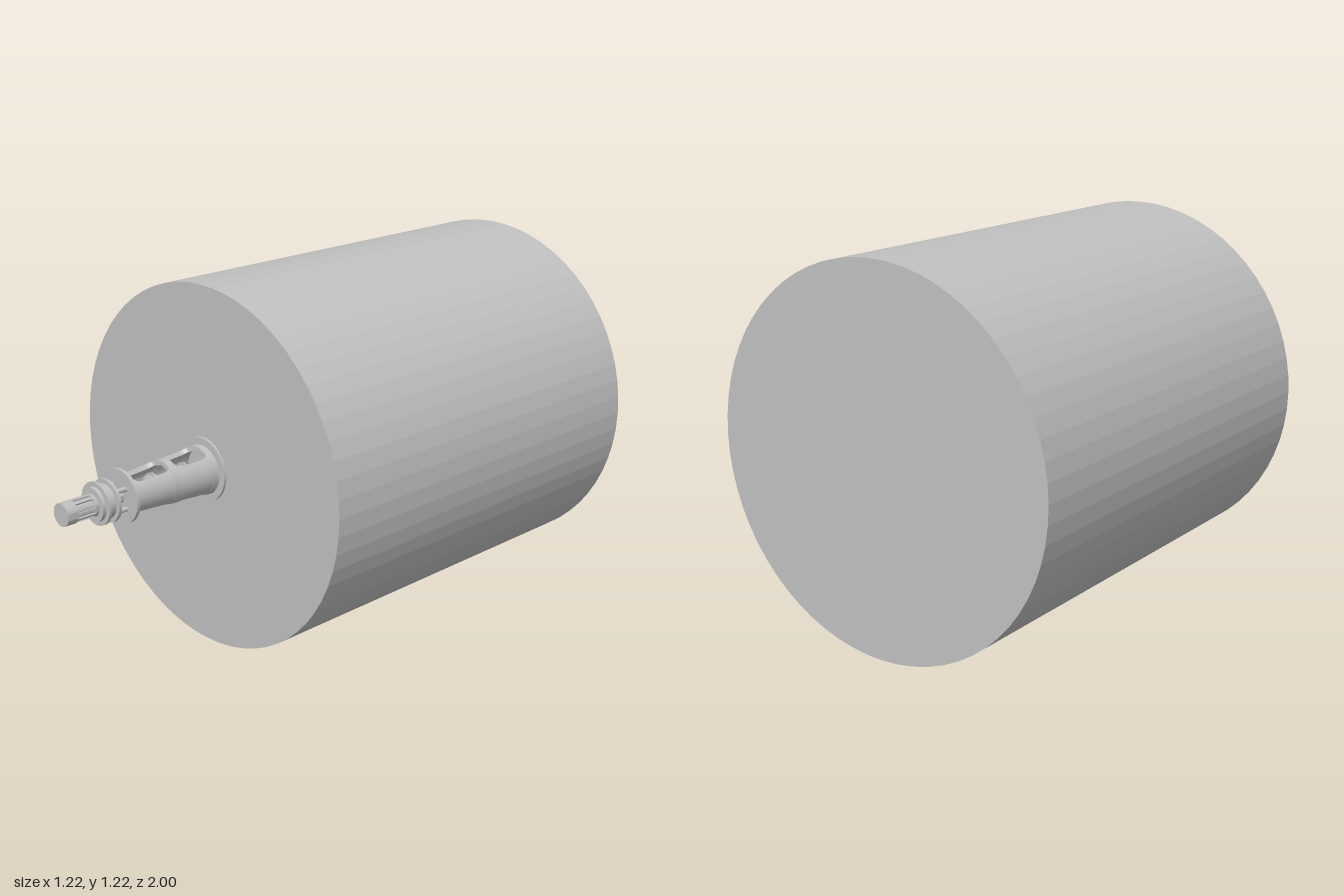
import * as THREE from 'three';
import { toCreasedNormals } from 'three/addons/utils/BufferGeometryUtils.js';

const grey = new THREE.MeshStandardMaterial({ color: 0xc0c0c0 });
grey.name = 'metalGrey';
const flatGrey = grey;

function add(parent, name, geometry, crease = 0.6) {
  const mesh = new THREE.Mesh(toCreasedNormals(geometry, crease), flatGrey);
  mesh.name = name;
  parent.add(mesh);
  return mesh;
}

// Solid of revolution around the z axis from [radius, z] pairs, back to front
function turned(profile, sides = 32) {
  const points = profile.map(([r, z]) => new THREE.Vector2(r, z));
  return new THREE.LatheGeometry(points, sides).rotateX(Math.PI / 2);
}

const disc = (r, z0, z1, sides) => turned([[0, z0], [r, z0], [r, z1], [0, z1]], sides);

// Half of the tapered lantern, with round-cornered windows cut out above and below
function lanternSide() {
  const windows = [[0.465, 0.59], [0.613, 0.755]];
  const rows = [[0.435, 0]];
  for (const [z0, z1] of windows) {
    for (let i = 0; i <= 14; i++) {
      const t = -Math.cos((i / 14) * Math.PI);
      const open = 0.75 * Math.pow(Math.max(0, 1 - t ** 6), 1 / 6);
      rows.push([(z0 + z1) / 2 + (t * (z1 - z0)) / 2, open]);
    }
  }
  rows.push([0.775, 0]);

  const n = 10, loop = 2 * (n + 1), positions = [], index = [];
  rows.forEach(([z, open], i) => {
    const radius = 0.085 - ((z - 0.435) / 0.34) * 0.021;
    const half = Math.PI / 2 - open;
    for (let j = 0; j < loop; j++) {
      const outer = j <= n;
      const angle = half * (((outer ? j : loop - 1 - j) / n) * 2 - 1);
      const r = outer ? radius : radius - 0.016;
      positions.push(r * Math.cos(angle), r * Math.sin(angle), z);
      if (i === rows.length - 1) continue;
      const a = i * loop + j, b = i * loop + ((j + 1) % loop);
      index.push(a, b, b + loop, a, b + loop, a + loop);
    }
  });
  const geometry = new THREE.BufferGeometry();
  geometry.setAttribute('position', new THREE.Float32BufferAttribute(positions, 3));
  geometry.setIndex(index);
  return geometry;
}

export function createModel() {
  const model = new THREE.Group();
  model.name = 'drumWithShaft';
  const axis = new THREE.Group();
  axis.name = 'turnedParts';
  axis.position.y = 0.61;
  model.add(axis);

  // Large faceted drum
  add(axis, 'drum', disc(0.61, -1, 0.435, 64), 0.01);

  // Lantern housing with its flanges
  add(axis, 'mountingFlange', disc(0.108, 0.43, 0.444));
  add(axis, 'lanternLeft', lanternSide());
  add(axis, 'lanternRight', lanternSide().rotateZ(Math.PI));
  add(axis, 'lanternFrontFlange', disc(0.088, 0.768, 0.78));

  // Inner shaft and couplings seen through the windows
  add(axis, 'innerShaft', disc(0.012, 0.44, 0.78, 20));
  for (const z of [0.52, 0.65, 0.728]) {
    add(axis, 'coupling', turned([
      [0, z - 0.028], [0.02, z - 0.028], [0.02, z - 0.018], [0.034, z - 0.014],
      [0.034, z - 0.003], [0.042, z - 0.003], [0.042, z + 0.003], [0.034, z + 0.003],
      [0.034, z + 0.014], [0.02, z + 0.018], [0.02, z + 0.028], [0, z + 0.028],
    ], 24));
  }

  // Spacer shaft and posts
  add(axis, 'spacerShaft', disc(0.022, 0.775, 0.83, 24));
  for (let i = 0; i < 4; i++) {
    const angle = (i + 0.5) * Math.PI / 2;
    const post = add(axis, 'spacerPost', disc(0.008, 0.775, 0.83, 12));
    post.position.set(0.046 * Math.cos(angle), 0.046 * Math.sin(angle), 0);
  }

  // Double-rimmed bearing collar
  add(axis, 'bearingCollar', turned([
    [0, 0.825], [0.07, 0.825], [0.07, 0.835], [0.056, 0.835], [0.056, 0.862],
    [0.07, 0.862], [0.07, 0.872], [0.055, 0.872], [0.055, 0.885], [0, 0.885],
  ]));

  // Output shaft with a splined section
  add(axis, 'outputShaft', turned([
    [0, 0.88], [0.037, 0.88], [0.037, 0.896], [0.031, 0.896], [0.031, 0.962],
    [0.037, 0.962], [0.037, 1], [0, 1],
  ]));
  for (let i = 0; i < 12; i++) {
    const rib = new THREE.BoxGeometry(0.008, 0.009, 0.068);
    rib.translate(0, 0.032, 0.929).rotateZ((i * Math.PI) / 6);
    add(axis, 'splineRib', rib);
  }
  return model;
}
